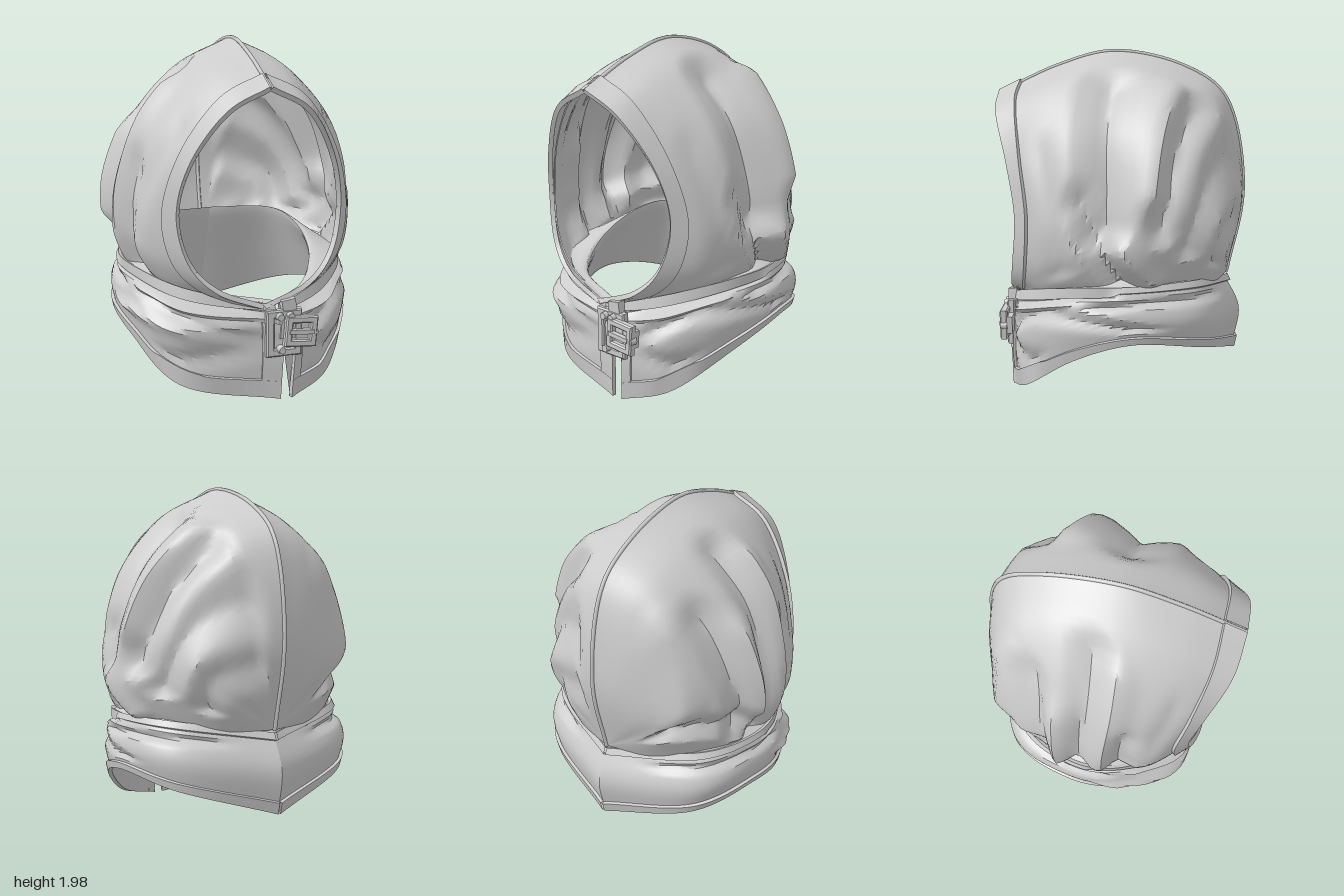
import * as THREE from 'three';
import { toCreasedNormals } from 'three/addons/utils/BufferGeometryUtils.js';

const V = (x, y, z) => new THREE.Vector3(x, y, z);
const cloth = new THREE.MeshStandardMaterial({ color: 0xcccccc, side: THREE.DoubleSide });

// Hood ribs for one half: crown seam down to the neck, ordered face opening to back
const RIBS = [
  [[0, 1.76, .71], [.22, 1.64, .69], [.39, 1.38, .6], [.455, 1.1, .545], [.4, .84, .57], [.25, .68, .61], [0, .58, .63]],
  [[0, 1.92, .36], [.25, 1.8, .38], [.49, 1.5, .38], [.62, 1.15, .34], [.62, .9, .34], [.54, .74, .36], [.42, .64, .42]],
  [[0, 2, .02], [.28, 1.86, .04], [.54, 1.6, .06], [.67, 1.25, .05], [.7, .98, .05], [.65, .8, .05], [.57, .66, .05]],
  [[0, 1.91, -.38], [.27, 1.8, -.32], [.52, 1.55, -.25], [.67, 1.25, -.22], [.71, .98, -.2], [.64, .8, -.2], [.55, .68, -.22]],
  [[0, 1.7, -.63], [.26, 1.62, -.57], [.44, 1.42, -.5], [.55, 1.18, -.47], [.57, .98, -.44], [.52, .83, -.42], [.42, .69, -.44]],
  [[0, 1.2, -.72], [.14, 1.17, -.7], [.28, 1.08, -.66], [.36, 1, -.62], [.36, .9, -.6], [.31, .8, -.58], [.25, .7, -.56]],
  Array(7).fill([0, .7, -.63]),
];

// Collar rows for one half, front to back: top, middle, hem, then the lining up to the neck
const TOP = [[.1, .58, .62], [.38, .66, .47], [.6, .73, .2], [.64, .75, -.1], [.48, .75, -.42], [0, .68, -.62]];
const MID = [[.17, .38, .63], [.43, .44, .54], [.66, .55, .22], [.7, .59, -.12], [.54, .57, -.5], [0, .48, -.71]];
const HEM = [[.16, .03, .62], [.42, .12, .49], [.63, .34, .2], [.68, .45, -.12], [.5, .39, -.5], [0, .24, -.67]];
const NECK = [[.1, .57, .57], [.29, .62, .43], [.43, .74, .2], [.46, .85, -.1], [.36, .91, -.34], [0, .91, -.44]];

// Cloth folds as lines on a surface: side, u0, v0, u1, v1, width, depth
const HOOD_FOLDS = [
  [-1, .37, .2, .42, .85, .07, -.07], [-1, .3, .25, .31, .9, .06, .035], [-1, .24, .45, .27, .95, .06, -.06],
  [-1, .46, .4, .46, .65, .08, .045], [-1, .56, .3, .53, .8, .08, -.07], [-1, .55, .72, .8, .65, .1, -.07],
  [-1, .12, .3, .2, .6, .06, -.02], [-1, .66, .25, .74, .5, .1, .035],
  [1, .33, .2, .34, .6, .1, -.1], [1, .49, .2, .5, .5, .07, .06], [1, .6, .2, .55, .6, .08, -.07],
  [1, .75, .15, .65, .7, .08, -.06], [1, .25, .5, .4, .9, .06, -.06], [1, .4, .68, .5, .85, .08, .05],
  [1, .86, .2, .8, .8, .06, -.04], [1, .14, .35, .2, .75, .07, -.025],
];
const COLLAR_FOLDS = [
  [0, .02, .16, .5, .14, .06, -.04], [0, .02, .24, .35, .26, .05, .03], [0, .04, .5, .3, .3, .1, -.035],
  [0, .05, .6, .22, .8, .09, -.035], [0, .5, .3, .85, .22, .08, -.035], [-1, .1, .4, .42, .6, .1, .035],
  [1, .35, .4, .6, .7, .1, -.03],
];

// Uniform spline through points
function spline(p, t) {
  const n = p.length - 1, i = Math.min(n - 1, Math.floor(t * n)), f = t * n - i;
  const a = p[i], b = p[i + 1];
  return V(...[0, 1, 2].map(k => {
    const before = i > 0 ? p[i - 1][k] : 2 * a[k] - b[k];
    const after = i < n - 1 ? p[i + 2][k] : 2 * b[k] - a[k];
    const m0 = (b[k] - before) / 2, m1 = (after - a[k]) / 2, d = b[k] - a[k];
    return a[k] + f * (m0 + f * (3 * d - 2 * m0 - m1 + f * (m0 + m1 - 2 * d)));
  }));
}

// Sum of the triangular fold profiles at a surface position
function foldDepth(folds, side, u, v) {
  let sum = 0;
  for (const [s, u0, v0, u1, v1, w, depth] of folds) {
    if (s && s !== side) continue;
    const du = u1 - u0, dv = v1 - v0;
    const t = THREE.MathUtils.clamp(((u - u0) * du + (v - v0) * dv) / (du * du + dv * dv), 0, 1);
    const d = Math.hypot(u - u0 - t * du, v - v0 - t * dv);
    sum += depth * Math.max(0, 1 - d / w);
  }
  return sum * THREE.MathUtils.clamp(8 * Math.min(u, 1 - u, v, 1 - v), 0, 1);
}

const outward = (p, yc) => V(p.x, (p.y - yc) * .5, p.z).normalize();

const hoodSurface = side => (u, v) => {
  const rib = RIBS[0].map((_, j) => spline(RIBS.map(r => r[j]), u).toArray());
  const p = spline(rib, v);
  p.addScaledVector(outward(p, 1.1), foldDepth(HOOD_FOLDS, side, u, v));
  p.x *= side;
  return p;
};

// The right flap reaches across the middle so that the slit sits left of centre
const shiftFlap = (row, side) => row.map((p, i) => side < 0 && i === 0 ? [-p[0] * .65, p[1], p[2]] : p);

const collarSurface = (rows, side, folds) => {
  const own = rows.map(r => shiftFlap(r, side));
  return (u, v) => {
    const p = spline(own.map(r => spline(r, u).toArray()), v);
    p.addScaledVector(outward(p, .5), foldDepth(folds, side, u, v));
    p.x *= side;
    return p;
  };
};

// Grid mesh over a surface function
function sheet(name, f, nu, nv, crease = .6) {
  const pos = [], index = [];
  for (let i = 0; i <= nu; i++) for (let j = 0; j <= nv; j++) {
    pos.push(...f(i / nu, j / nv).toArray());
    if (i < nu && j < nv) {
      const a = i * (nv + 1) + j, b = a + nv + 1;
      index.push(a, b, a + 1, b, b + 1, a + 1);
    }
  }
  const g = new THREE.BufferGeometry();
  g.setAttribute('position', new THREE.Float32BufferAttribute(pos, 3));
  g.setIndex(index);
  const mesh = new THREE.Mesh(toCreasedNormals(g, crease), cloth);
  mesh.name = name;
  return mesh;
}

// Raised trim on a surface; at(along, across) gives the surface coordinates
function trim(name, f, at, height, steps = 48) {
  const across = [0, 0, 1, 1], lift = [-.4, 1, 1, -.4];
  return sheet(name, (a, b) => {
    const k = Math.round(b * 3), [u, v] = at(a, across[k]), e = .01;
    const lo = x => Math.max(0, x - e), hi = x => Math.min(1, x + e);
    const n = f(hi(u), v).sub(f(lo(u), v)).cross(f(u, hi(v)).sub(f(u, lo(v)))).normalize();
    const p = f(u, v);
    if (n.dot(outward(p, .9)) < 0) n.negate();
    return p.addScaledVector(n, height * lift[k]);
  }, steps, 3, .5);
}

function frame(name, w, h, bar, depth) {
  const rect = (P, a, b) => new P([V(-a, -b, 0), V(a, -b, 0), V(a, b, 0), V(-a, b, 0)].map(p => new THREE.Vector2(p.x, p.y)));
  const s = rect(THREE.Shape, w / 2, h / 2);
  s.holes.push(rect(THREE.Path, w / 2 - bar, h / 2 - bar));
  const g = new THREE.ExtrudeGeometry(s, { depth, bevelEnabled: true, bevelSize: .008, bevelThickness: .008, bevelSegments: 1 });
  const m = new THREE.Mesh(g, cloth);
  m.name = name;
  return m;
}

export function createModel() {
  const model = new THREE.Group();
  model.name = 'hood';
  for (const side of [1, -1]) {
    const label = side > 0 ? 'left' : 'right';
    const hood = hoodSurface(side);
    model.add(sheet(label + 'HoodShell', hood, 56, 40));
    model.add(trim(label + 'FaceRim', hood, (a, b) => [b * .06, a], .02));

    // Collar cloth, then its lining which rises to the neck hole and turns over
    const collar = collarSurface([TOP, MID, HEM], side, COLLAR_FOLDS);
    const half = HEM.map((p, i) => p.map((c, k) => (c + NECK[i][k]) / 2));
    model.add(sheet(label + 'Collar', collar, 48, 20));
    model.add(sheet(label + 'CollarLining', collarSurface([HEM, half, NECK, TOP], side, []), 48, 18));
    model.add(trim(label + 'CollarHem', collar, (a, b) => [a, .86 + b * .14], .018));
    model.add(trim(label + 'SlitEdge', collar, (a, b) => [b * .04, .3 + a * .7], .016, 12));
    model.add(trim(label + 'CollarTopRoll', collar, (a, b) => [a, b * .1], .02));
  }

  // Centre seam over the crown
  const seamPath = new THREE.CatmullRomCurve3(Array.from({ length: 25 }, (_, i) => spline(RIBS.map(r => r[0]), i / 24)));
  const seam = new THREE.Mesh(new THREE.TubeGeometry(seamPath, 60, .012, 6), cloth);
  seam.name = 'centreSeam';
  model.add(seam);

  // Front clasp: two linked frames, strap, tongue and studs
  const clasp = new THREE.Group();
  clasp.name = 'clasp';
  const back = frame('backFrame', .19, .25, .03, .03);
  back.position.set(.11, .42, .62);
  const front = frame('frontFrame', .17, .16, .025, .03);
  front.position.set(.2, .43, .65);
  front.rotation.z = -.08;
  clasp.add(back, front);
  const boxes = [
    ['strap', .2, .1, .04, .19, .43, .635, -.08],
    ['tongue', .14, .025, .03, .2, .43, .68, -.08],
    ['upperLoop', .08, .1, .05, .14, .56, .63, .15],
    ['backPlate', .16, .22, .03, .11, .42, .61, 0],
  ];
  for (const [name, w, h, d, x, y, z, turn] of boxes) {
    const m = new THREE.Mesh(new THREE.BoxGeometry(w, h, d), cloth);
    m.name = name;
    m.position.set(x, y, z);
    m.rotation.z = turn;
    clasp.add(m);
  }
  for (const [x, y] of [[.08, .52], [.14, .52], [.09, .33], [.28, .42]]) {
    const stud = new THREE.Mesh(new THREE.CylinderGeometry(.02, .025, .04, 8).rotateX(Math.PI / 2), cloth);
    stud.name = 'stud';
    stud.position.set(x, y, .665);
    clasp.add(stud);
  }
  model.add(clasp);
  return model;
}
